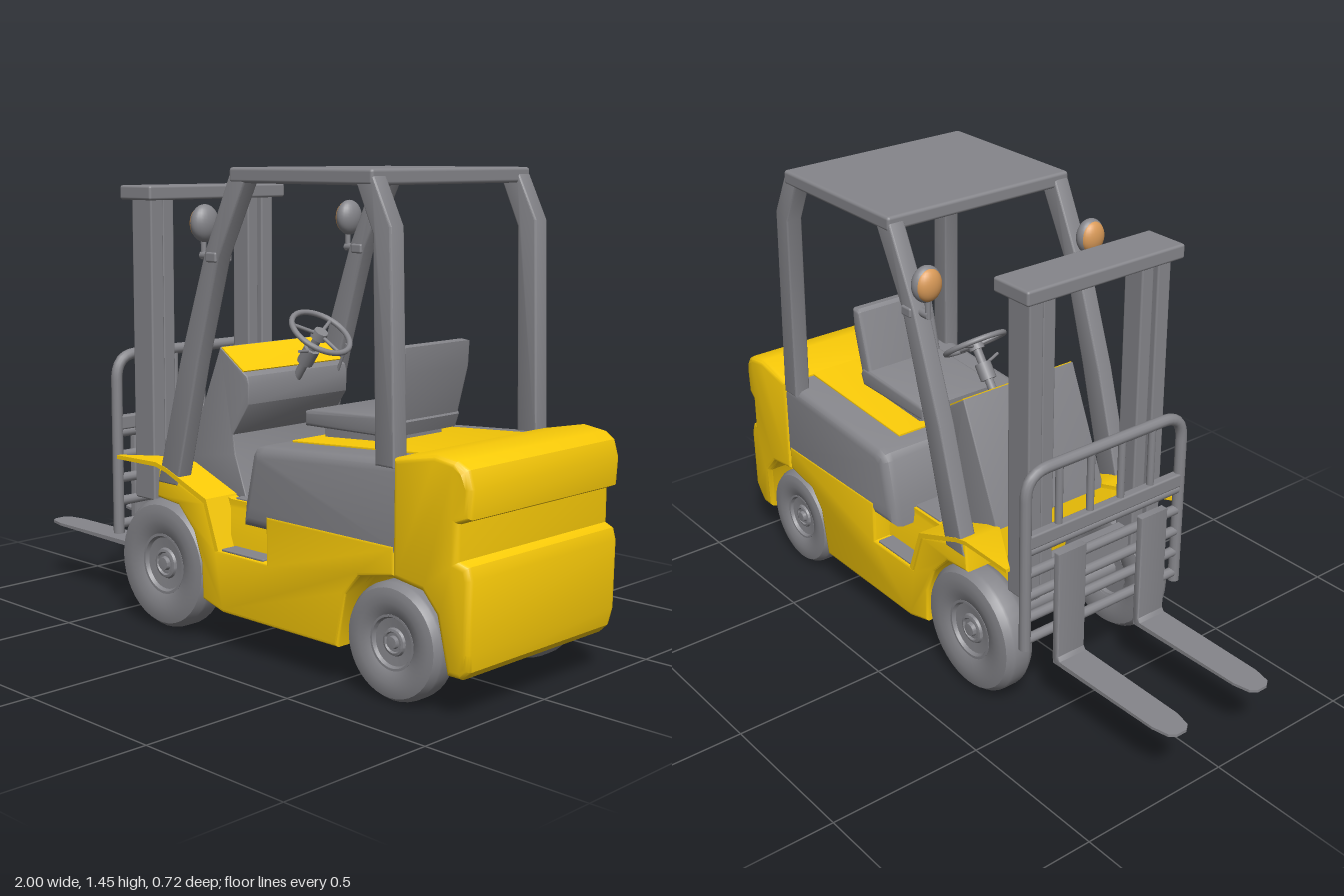
import * as THREE from 'three';
import { toCreasedNormals } from 'three/addons/utils/BufferGeometryUtils.js';
import { RoundedBoxGeometry } from 'three/addons/geometries/RoundedBoxGeometry.js';

const mat = (color) => new THREE.MeshStandardMaterial({ color, side: THREE.DoubleSide });
const GREY = mat(0x86868b), YELLOW = mat(0xfacb08), AMBER = mat(0xd99a58);
const V = (x, y, z) => new THREE.Vector3(x, y, z);

export function createModel() {
  const model = new THREE.Group();
  model.name = 'forklift';

  const add = (name, geo, material = GREY, parent = model) => {
    const mesh = new THREE.Mesh(geo, material);
    mesh.name = name;
    parent.add(mesh);
    return mesh;
  };
  // Side profile (x, y) extruded from z0 to z1 with a small inward bevel;
  // an optional rule moves each vertex before the normals are made
  const slab = (pts, z0, z1, bevel = 0.008, rule = null) => {
    const shape = new THREE.Shape(pts.map((p) => new THREE.Vector2(...p)));
    const geo = new THREE.ExtrudeGeometry(shape, {
      depth: z1 - z0 - 2 * bevel, bevelEnabled: bevel > 0, bevelThickness: bevel,
      bevelSize: bevel, bevelOffset: -bevel, bevelSegments: 3,
    });
    geo.translate(0, 0, z0 + bevel);
    if (rule) {
      const p = geo.attributes.position;
      for (let i = 0; i < p.count; i++) p.setXYZ(i, ...rule(p.getX(i), p.getY(i), p.getZ(i)));
    }
    return toCreasedNormals(geo, 0.6);
  };
  // Rounded box given by its limits
  const box = (x0, x1, y0, y1, z0, z1, r = 0.006) =>
    new RoundedBoxGeometry(x1 - x0, y1 - y0, z1 - z0, 2, r)
      .translate((x0 + x1) / 2, (y0 + y1) / 2, (z0 + z1) / 2);
  // Straight round bar between two points
  const bar = (a, b, r, sides = 12) => {
    const d = b.clone().sub(a);
    return new THREE.CylinderGeometry(r, r, d.length(), sides)
      .applyQuaternion(new THREE.Quaternion().setFromUnitVectors(V(0, 1, 0), d.clone().normalize()))
      .translate((a.x + b.x) / 2, (a.y + b.y) / 2, (a.z + b.z) / 2);
  };

  // Chassis: core with step walls leaning outward, plus side slabs cut out for the steps
  const arch = [[-0.25, 0.43], [-0.15, 0.42], [-0.08, 0.35], [-0.045, 0.26], [-0.04, 0.145], [0.05, 0.12],
    [0.53, 0.12], [0.56, 0.28], [0.61, 0.34], [0.74, 0.365], [0.74, 0.45]];
  add('chassisCore', slab([...arch, [0, 0.45], [-0.24, 0.525]], -0.25, 0.25, 0,
    (x, y, z) => [x, y, z * (y < 0.4 ? 1.1 : 1)]), YELLOW);
  const sideProfile = [...arch, [0.24, 0.45], [0.24, 0.31], [0.03, 0.31], [-0.02, 0.45], [-0.24, 0.525]];

  // Counterweight with rear groove, narrowed at the rear and lower corners
  add('counterweight', slab([[0.735, 0.36], [0.84, 0.345], [0.89, 0.29], [0.915, 0.125], [0.965, 0.125], [0.99, 0.15],
    [0.997, 0.2], [1, 0.4], [0.99, 0.435], [0.96, 0.445], [0.96, 0.545], [0.995, 0.56], [1, 0.64], [0.985, 0.69],
    [0.95, 0.71], [0.88, 0.72], [0.735, 0.69]], -0.34, 0.34, 0.018,
  (x, y, z) => [x, y, z * (y < 0.18 ? 0.95 : x > 0.97 ? 0.98 : 1)]), YELLOW);

  // Engine cover under the seat, with well rounded corners
  add('engineCover', slab([[0.13, 0.4], [0.137, 0.47], [0.17, 0.62], [0.185, 0.643], [0.22, 0.652], [0.79, 0.688],
    [0.79, 0.4]], -0.333, 0.333, 0.035));
  add('engineCoverTop', slab([[0.24, 0.645], [0.24, 0.659], [0.75, 0.692], [0.75, 0.67]], -0.225, 0.225, 0.003), YELLOW);

  // Cowl, its coloured panel facing the driver, and floor mat
  add('cowl', slab([[-0.245, 0.46], [-0.235, 0.55], [-0.085, 0.905], [0.035, 0.825], [0.042, 0.8], [0.04, 0.74],
    [-0.03, 0.64], [-0.02, 0.58], [0.03, 0.45]], -0.215, 0.215, 0.004));
  add('cowlPanel', slab([[-0.08, 0.897], [-0.079, 0.905], [0.019, 0.84], [0.015, 0.833]], -0.213, 0.213, 0), YELLOW);
  add('floorMat', box(0.01, 0.15, 0.445, 0.456, -0.24, 0.24, 0.004));

  // Seat
  add('seatBase', box(0.27, 0.52, 0.645, 0.7, -0.12, 0.12));
  add('seatCushion', slab([[0.215, 0.69], [0.215, 0.735], [0.24, 0.742], [0.55, 0.76], [0.565, 0.735], [0.55, 0.695]],
    -0.15, 0.15, 0.012));
  add('seatBack', slab([[0.505, 0.725], [0.56, 0.95], [0.575, 0.958], [0.602, 0.955], [0.598, 0.88], [0.555, 0.715]],
    -0.147, 0.147, 0.012));

  // Steering wheel, tilted toward the driver
  const steering = new THREE.Group();
  steering.name = 'steeringWheel';
  steering.position.set(0.135, 0.95, 0);
  steering.rotation.z = -0.615;
  model.add(steering);
  add('steeringRim', new THREE.TorusGeometry(0.097, 0.009, 10, 36).rotateX(Math.PI / 2), GREY, steering);
  add('steeringHub', new THREE.CylinderGeometry(0.022, 0.026, 0.025, 16).translate(0, -0.008, 0), GREY, steering);
  for (let i = 0; i < 3; i++) {
    const a = (i * 2 * Math.PI) / 3;
    add('steeringSpoke', bar(V(0, -0.008, 0), V(0.095 * Math.cos(a), 0, 0.095 * Math.sin(a)), 0.006, 8), GREY, steering);
  }
  add('steeringColumn', bar(V(0, -0.25, 0), V(0, 0, 0), 0.014), GREY, steering);
  add('columnSleeve', bar(V(0, -0.12, 0), V(0, -0.065, 0), 0.026), GREY, steering);
  add('columnSwitch', bar(V(0, -0.075, 0), V(0.02, -0.05, 0.08), 0.005, 8), GREY, steering);
  add('controlLever', bar(V(0.02, 0.77, -0.178), V(0.075, 0.895, -0.178), 0.005, 8));

  // Overhead guard roof
  add('roof', box(0.095, 0.655, 1.405, 1.45, -0.34, 0.34, 0.01));

  // Wheel: tyre and dished rim turned around the z axis, outer face to +z
  const wheel = (name, x, r, w, side) => {
    const g = new THREE.Group();
    g.name = name;
    const lathe = (pts) => toCreasedNormals(new THREE.LatheGeometry(
      pts.map(([a, b]) => new THREE.Vector2(a * r, b * w)), 40).rotateX(Math.PI / 2), 0.6);
    add('tyre', lathe([[0.44, -0.36], [0.52, -0.44], [0.68, -0.5], [0.82, -0.5], [0.92, -0.46], [0.99, -0.28],
      [1, -0.2], [1, 0.2], [0.99, 0.28], [0.92, 0.46], [0.82, 0.5], [0.68, 0.5], [0.52, 0.44], [0.44, 0.36]]), GREY, g);
    add('rim', lathe([[0, -0.2], [0.45, -0.2], [0.47, -0.4], [0.47, 0.4], [0.43, 0.4], [0.4, 0.3], [0.24, 0.27],
      [0.22, 0.34], [0.18, 0.36], [0.16, 0.3], [0.11, 0.3], [0.1, 0.42], [0, 0.43]]), GREY, g);
    g.position.set(x, r + (r > 0.19 ? 0.01 : 0.005), side * 0.278);
    if (side < 0) g.rotation.y = Math.PI;
    model.add(g);
  };
  add('frontAxle', bar(V(-0.24, 0.215, -0.26), V(-0.24, 0.215, 0.26), 0.03, 16));
  add('rearAxle', bar(V(0.72, 0.173, -0.26), V(0.72, 0.173, 0.26), 0.025, 16));

  // Fender sheet, its inner edge cut back toward the front tip
  const fender = slab([[-0.44, 0.525], [-0.44, 0.537], [-0.25, 0.541], [-0.2, 0.53], [-0.015, 0.46], [0.04, 0.31],
    [0.025, 0.305], [-0.025, 0.446], [-0.2, 0.515], [-0.25, 0.527]], 0.21, 0.34, 0,
  (x, y, z) => [x, y, x < -0.3 ? Math.max(z, 0.325) : z]);

  for (const s of [1, -1]) {
    // Parts that sit on both sides, placed by limits measured from the centre plane
    const sideSlab = (pts, z0, z1, b) => slab(pts, s > 0 ? z0 : -z1, s > 0 ? z1 : -z0, b);
    const sideBox = (x0, x1, y0, y1, z0, z1, r) => box(x0, x1, y0, y1, s > 0 ? z0 : -z1, s > 0 ? z1 : -z0, r);

    add('chassisSide', sideSlab(sideProfile, 0.24, 0.335, 0.01), YELLOW);
    add('stepTread', sideBox(0.045, 0.225, 0.308, 0.316, 0.25, 0.33, 0.003));
    add('fender', fender, YELLOW).scale.z = s;
    wheel('frontWheel', -0.24, 0.205, 0.108, s);
    wheel('rearWheel', 0.72, 0.168, 0.1, s);

    // Guard pillars
    add('frontPillar', sideSlab([[-0.24, 0.48], [-0.13, 0.87], [-0.015, 1.2], [0.095, 1.43], [0.16, 1.41],
      [0.045, 1.19], [-0.05, 0.87], [-0.15, 0.48]], 0.283, 0.338, 0.006));
    add('rearPillar', sideSlab([[0.67, 0.66], [0.655, 1.28], [0.595, 1.41], [0.655, 1.43], [0.72, 1.3], [0.74, 0.66]],
      0.283, 0.338, 0.006));

    // Work lamp on a bent bracket
    add('lampBracket', bar(V(-0.055, 1.19, s * 0.31), V(0.04, 1.19, s * 0.31), 0.013));
    add('lampClamp', box(-0.005, 0.04, 1.173, 1.203, s * 0.31 - 0.034, s * 0.31 + 0.034));
    add('lampStem', bar(V(-0.048, 1.18, s * 0.31), V(-0.048, 1.25, s * 0.31), 0.009));
    add('lampHousing', new THREE.SphereGeometry(0.05, 24, 16).scale(0.66, 1.12, 0.98).translate(-0.043, 1.285, s * 0.31));
    add('lampLens', new THREE.SphereGeometry(0.045, 24, 16).scale(0.62, 1.12, 0.98)
      .translate(-0.053, 1.285, s * 0.31), AMBER);

    // Mast rails
    add('outerMastRail', sideBox(-0.445, -0.35, 0.39, 1.36, 0.212, 0.262));
    add('innerMastRail', sideBox(-0.435, -0.36, 0.39, 1.36, 0.16, 0.206));

    // Fork: tapered blade and upright shank
    const plan = [[-0.51, 0.11], [-0.93, 0.113], [-0.985, 0.125], [-1, 0.145], [-1, 0.18], [-0.985, 0.2],
      [-0.93, 0.212], [-0.51, 0.215]];
    const blade = new THREE.ExtrudeGeometry(new THREE.Shape(plan.map(([x, z]) => new THREE.Vector2(x, s * z))),
      { depth: 0.016, bevelEnabled: false }).rotateX(Math.PI / 2).translate(0, 0.212, 0);
    const bp = blade.attributes.position;
    for (let i = 0; i < bp.count; i++) if (bp.getX(i) < -0.9 && bp.getY(i) < 0.2) bp.setY(i, 0.203);
    blade.computeVertexNormals();
    add('forkBlade', blade);
    add('forkShank', sideSlab([[-0.55, 0.196], [-0.53, 0.225], [-0.53, 0.58], [-0.505, 0.58], [-0.505, 0.21],
      [-0.515, 0.196]], 0.11, 0.215, 0.004));
  }

  // Mast cross members
  add('mastCap', box(-0.47, -0.32, 1.345, 1.39, -0.29, 0.29, 0.008));
  add('mastCrossMember', box(-0.42, -0.37, 0.41, 0.48, -0.17, 0.17));

  // Load backrest: bent tube frame with uprights and lower cross bars
  const frame = new THREE.CurvePath();
  const X = -0.483, Z = 0.303, T = 0.852, R = 0.08;
  frame.add(new THREE.LineCurve3(V(X, 0.27, -Z), V(X, T - R, -Z)));
  frame.add(new THREE.QuadraticBezierCurve3(V(X, T - R, -Z), V(X, T, -Z), V(X, T, -Z + R)));
  frame.add(new THREE.LineCurve3(V(X, T, -Z + R), V(X, T, Z - R)));
  frame.add(new THREE.QuadraticBezierCurve3(V(X, T, Z - R), V(X, T, Z), V(X, T - R, Z)));
  frame.add(new THREE.LineCurve3(V(X, T - R, Z), V(X, 0.27, Z)));
  add('backrestFrame', new THREE.TubeGeometry(frame, 96, 0.018, 12));
  for (const z of [-0.18, -0.06, 0.06, 0.18]) add('backrestUpright', bar(V(X, 0.62, z), V(X, T, z), 0.012));
  for (let i = 0; i < 5; i++) add('carriageBar', bar(V(X, 0.3 + i * 0.075, -Z), V(X, 0.3 + i * 0.075, Z), 0.016));
  add('carriagePlate', box(X - 0.016, X + 0.016, 0.61, 0.655, -Z, Z));

  return model;
}
